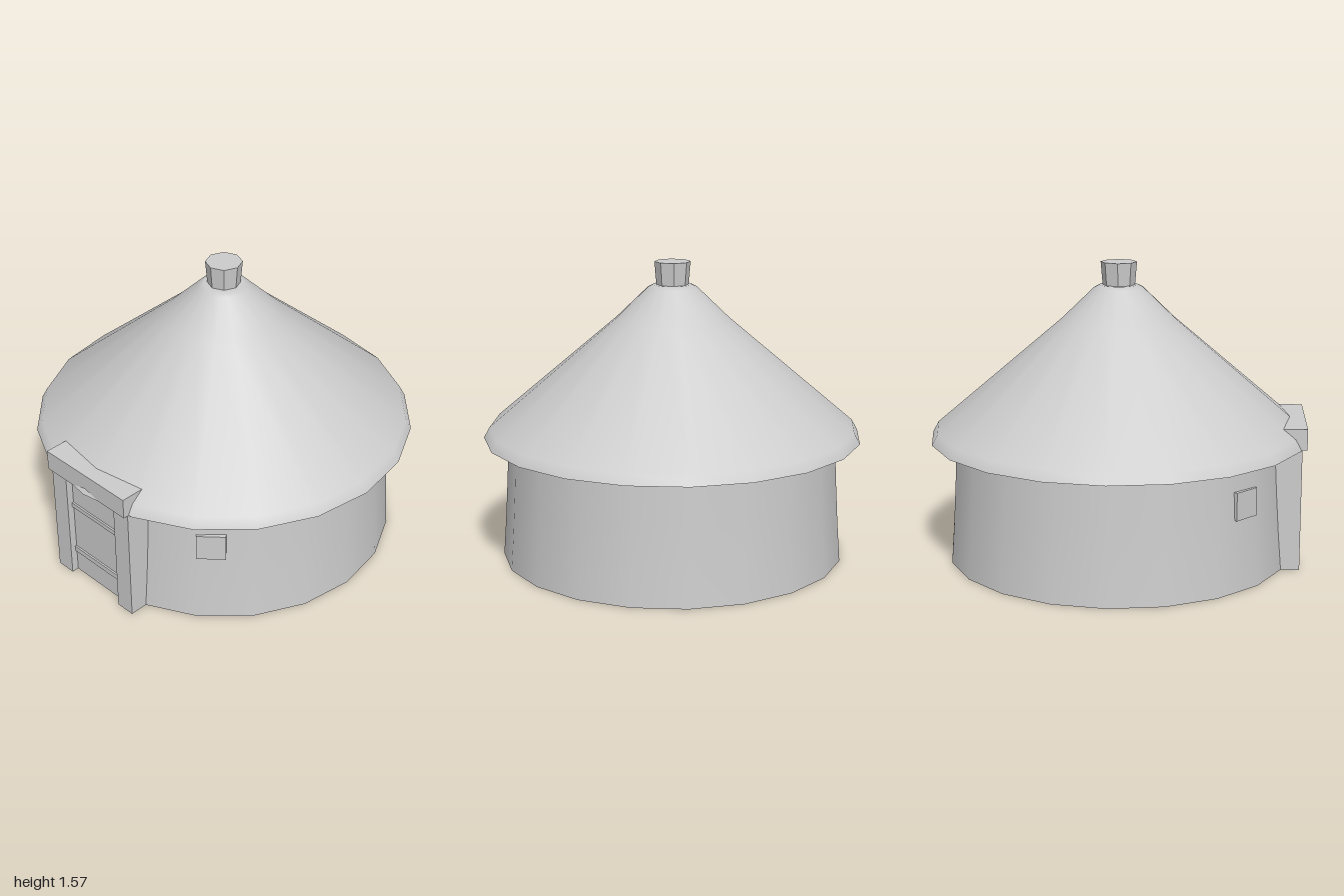
import * as THREE from 'three';

const SIDES = 20;

export function createModel() {
  const model = new THREE.Group();
  model.name = 'roundHut';
  const clay = new THREE.MeshStandardMaterial({ color: 0xcccccc });
  clay.name = 'paleGrey';

  const add = (name, geometry, parent = model) => {
    const mesh = new THREE.Mesh(geometry, clay);
    mesh.name = name;
    parent.add(mesh);
    return mesh;
  };
  const turned = (name, points) =>
    add(name, new THREE.LatheGeometry(points.map(([r, y]) => new THREE.Vector2(r, y)), SIDES));
  // Flat disc facing down, with a corner on the z axis
  const underside = (name, radius, y) =>
    add(name, new THREE.CircleGeometry(radius, SIDES).rotateX(Math.PI / 2)).position.set(0, y, 0);
  // Box given by its lower and upper limits
  const block = (name, x0, x1, y0, y1, z0, z1, parent) =>
    add(name, new THREE.BoxGeometry(x1 - x0, y1 - y0, z1 - z0), parent)
      .position.set((x0 + x1) / 2, (y0 + y1) / 2, (z0 + z1) / 2);

  // Slightly tapering round wall
  turned('wall', [[0.91, 0], [0.895, 0.2], [0.882, 0.42], [0.87, 0.66]]);
  underside('floor', 0.91, 0);

  // Conical roof with a short steep eave
  turned('roof', [[1, 0.645], [0.97, 0.7], [0.3, 1.27], [0.13, 1.435], [0.1, 1.45], [0, 1.45]]);
  underside('roofUnderside', 1, 0.645);

  // Faceted chimney, a little wider at the top
  const chimney = new THREE.CylinderGeometry(0.095, 0.083, 0.14, 8).toNonIndexed();
  chimney.computeVertexNormals();
  add('chimney', chimney).position.y = 1.5;

  // Doorway: posts, lintel, door and its rails
  const doorway = new THREE.Group();
  doorway.name = 'doorway';
  model.add(doorway);
  block('rightPost', -0.285, -0.18, 0, 0.645, 0.78, 0.96, doorway);
  block('leftPost', 0.18, 0.285, 0, 0.645, 0.78, 0.96, doorway);
  block('lintel', -0.285, 0.285, 0.645, 0.755, 0.8, 0.985, doorway);
  block('door', -0.18, 0.18, 0, 0.645, 0.8, 0.922, doorway);
  for (const [y0, y1] of [[0.13, 0.16], [0.425, 0.45], [0.61, 0.645]]) {
    block('doorRail', -0.18, 0.18, y0, y1, 0.9, 0.932, doorway);
  }

  // Two window blocks standing just proud of the wall
  for (const side of [-1, 1]) {
    const pivot = new THREE.Group();
    pivot.name = side > 0 ? 'leftWindow' : 'rightWindow';
    pivot.position.set(side * 0.575, 0.44, 0.675);
    pivot.rotation.y = side * THREE.MathUtils.degToRad(42);
    model.add(pivot);
    block('windowBlock', -0.075, 0.075, -0.0725, 0.0725, -0.1, 0, pivot);
  }
  return model;
}
